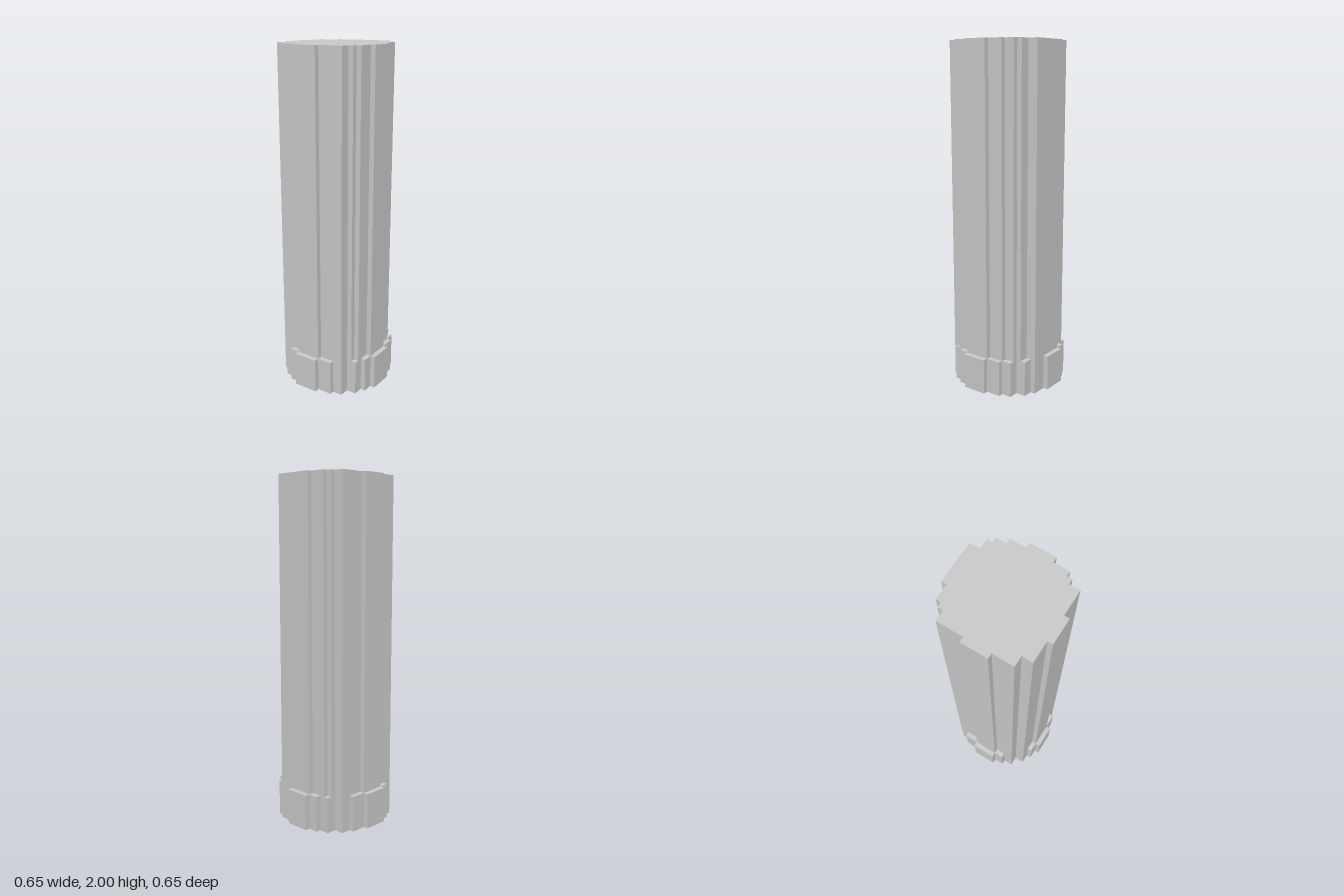
import * as THREE from 'three';

const UNIT = 2 / 68; // one grid step; the column is 68 steps tall

// Cross-sections as rows from back to front: [zStart, zEnd, xLeft, xRight]
const BASE_ROWS = [
  [-11, -10, -3, 2], [-10, -9, -5, 5], [-9, -7, -7, 7], [-7, -5, -9, 9],
  [-5, -2, -10, 10], [-2, 3, -11, 11], [3, 5, -10, 10], [5, 7, -9, 9],
  [7, 9, -7, 7], [9, 10, -5, 5], [10, 11, -3, 2],
];
const SHAFT_ROWS = [
  [-10, -9, -3, 5], [-9, -8, -6, 5], [-8, -7, -7, 7], [-7, -5, -9, 8],
  [-5, -2, -9, 9], [-2, 3, -10, 10], [3, 6, -9, 9], [6, 7, -9, 8],
  [7, 9, -7, 7], [9, 10, -3, 2],
];

// Walk down one side of the rows and back up the other for a stepped outline
function steppedPrism(name, rows, bottom, top, material) {
  const right = [], left = [];
  for (const [z0, z1, x0, x1] of rows) {
    right.push(new THREE.Vector2(x1, -z0), new THREE.Vector2(x1, -z1));
    left.push(new THREE.Vector2(x0, -z0), new THREE.Vector2(x0, -z1));
  }
  const outline = [...left, ...right.reverse()]
    .filter((p, i, all) => i === 0 || !p.equals(all[i - 1]));
  const geometry = new THREE.ExtrudeGeometry(new THREE.Shape(outline), {
    depth: top - bottom, bevelEnabled: false,
  });
  geometry.rotateX(-Math.PI / 2);
  geometry.translate(0, bottom, 0);
  geometry.scale(UNIT, UNIT, UNIT);
  const mesh = new THREE.Mesh(geometry, material);
  mesh.name = name;
  return mesh;
}

export function createModel() {
  const group = new THREE.Group();
  group.name = 'column';
  const material = new THREE.MeshStandardMaterial({ color: 0xcccccc, flatShading: true });
  // Wider foot, then the tall shaft
  group.add(steppedPrism('base', BASE_ROWS, 0, 7, material));
  group.add(steppedPrism('shaft', SHAFT_ROWS, 7, 68, material));
  return group;
}
